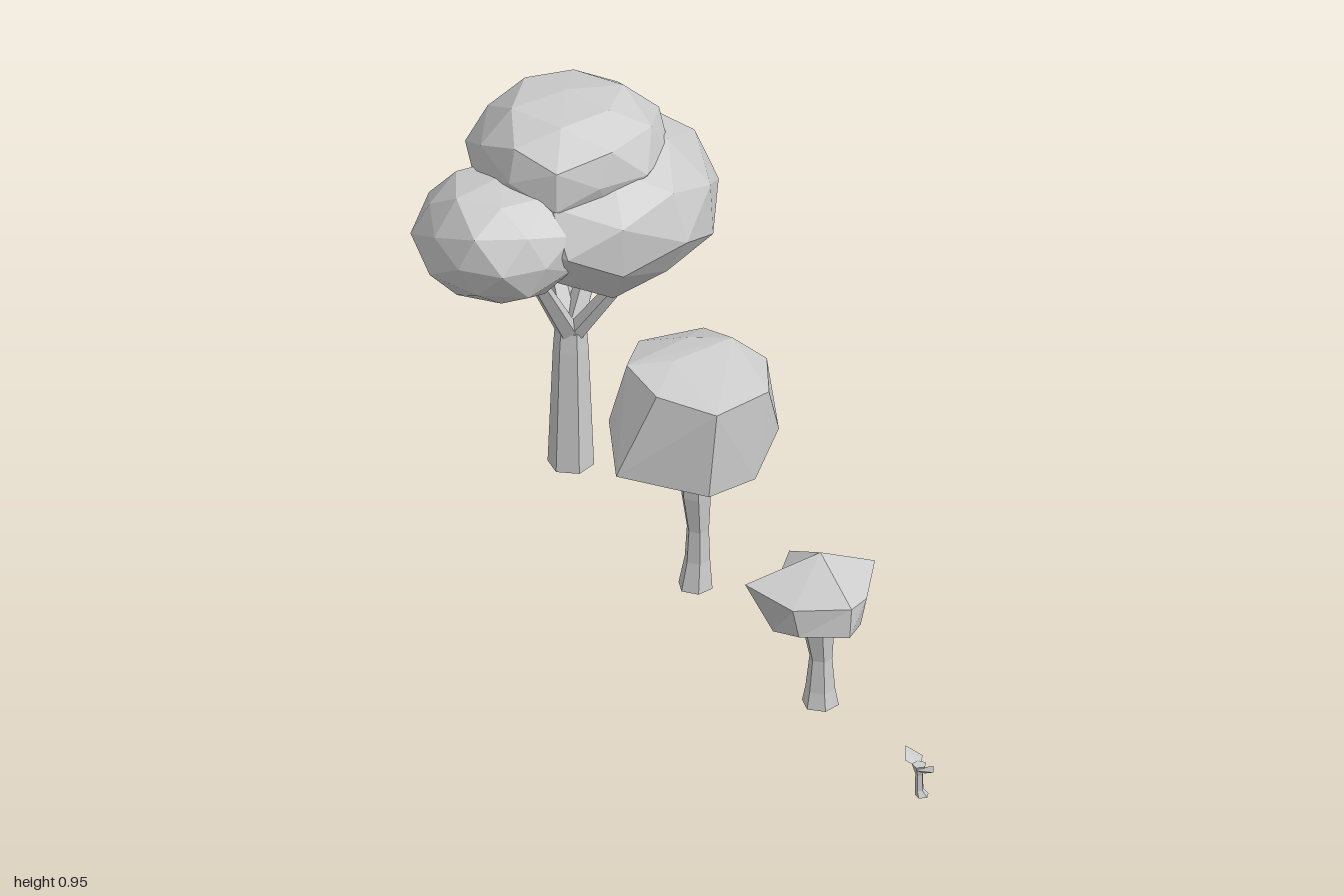
import * as THREE from 'three';
import { ConvexGeometry } from 'three/addons/geometries/ConvexGeometry.js';

const material = new THREE.MeshStandardMaterial({ color: 0xcccccc, flatShading: true, side: THREE.DoubleSide });

function part(name, geometry) {
  const mesh = new THREE.Mesh(geometry, material);
  mesh.name = name;
  return mesh;
}

// Skin a stack of equal-length rings (bottom to top, anticlockwise from above), closed by two centre points.
function skin(rings, bottom, top) {
  const n = rings[0].length, pos = [];
  const tri = (...corners) => corners.forEach((c) => pos.push(...c));
  for (let i = 0; i < n; i++) {
    const j = (i + 1) % n, last = rings[rings.length - 1];
    tri(bottom, rings[0][j], rings[0][i]);
    for (let k = 0; k + 1 < rings.length; k++) {
      const a = rings[k], b = rings[k + 1];
      tri(a[i], a[j], b[j]);
      tri(a[i], b[j], b[i]);
    }
    tri(top, last[i], last[j]);
  }
  const geometry = new THREE.BufferGeometry();
  geometry.setAttribute('position', new THREE.Float32BufferAttribute(pos, 3));
  geometry.computeVertexNormals();
  return geometry;
}

// Faceted trunk or branch through [x, y, z, radius] stations.
function limb(stations, sides, turn = 0) {
  const rings = stations.map(([x, y, z, r]) => Array.from({ length: sides }, (_, i) => {
    const a = turn + (i / sides) * Math.PI * 2;
    return [x + r * Math.cos(a), y, z - r * Math.sin(a)];
  }));
  return skin(rings, stations[0].slice(0, 3), stations[stations.length - 1].slice(0, 3));
}

// Irregular low-poly foliage ball.
function leafBall(center, radii, seed) {
  const geometry = new THREE.IcosahedronGeometry(1, 1);
  const p = geometry.attributes.position, v = new THREE.Vector3();
  geometry.rotateY(seed);
  for (let i = 0; i < p.count; i++) {
    v.fromBufferAttribute(p, i);
    v.multiplyScalar(1 + 0.045 * Math.sin(5 * v.x + 3 * v.y + 4 * v.z + seed * 7));
    p.setXYZ(i, center[0] + v.x * radii[0], center[1] + v.y * radii[1], center[2] + v.z * radii[2]);
  }
  geometry.computeVertexNormals();
  return geometry;
}

function tree(name, ...parts) {
  const group = new THREE.Group();
  group.name = name;
  group.add(...parts);
  return group;
}

function seedling() {
  const stem = limb([[0.015, 0.02, 0.938, 0.016], [0.01, 0.035, 0.935, 0.01], [0.01, 0.075, 0.935, 0.009], [0.01, 0.1, 0.935, 0.017]], 5);
  // Folded diamond leaves, one on each side of the stem
  const leaves = [1, -1].map((s) => {
    const z = (d) => 0.935 + s * d;
    const rim = [[0.01, 0.09, z(0)], [0.032, 0.103, z(0.025)], [0.01, 0.114, z(0.065)], [-0.012, 0.103, z(0.025)]];
    if (s < 0) rim.reverse();
    return part('leaf', skin([rim], [0.01, 0.09, z(0.025)], [0.01, 0.1, z(0.025)]));
  });
  return tree('seedling', part('stem', stem), ...leaves);
}

function sapling() {
  const trunk = limb([[0.01, 0.01, 0.475, 0.042], [0.01, 0.05, 0.475, 0.034], [0.01, 0.13, 0.477, 0.026], [0.005, 0.2, 0.475, 0.036], [0.005, 0.26, 0.475, 0.04]], 6, 0.3);
  // Pointed crown: notched upper rim over a smaller lower rim
  const lower = [[0.08, 0.24, 0.47], [0.06, 0.25, 0.42], [0.01, 0.24, 0.39], [-0.05, 0.22, 0.42],
    [-0.09, 0.205, 0.44], [-0.09, 0.255, 0.56], [0, 0.265, 0.63], [0.06, 0.25, 0.57]];
  const upper = [[0.15, 0.335, 0.47], [0.06, 0.335, 0.41], [0.01, 0.325, 0.33], [-0.06, 0.34, 0.42],
    [-0.155, 0.34, 0.43], [-0.1, 0.32, 0.55], [0.01, 0.33, 0.62], [0.07, 0.32, 0.58]];
  return tree('sapling', part('trunk', trunk), part('crown', skin([lower, upper], [0, 0.22, 0.475], [0.01, 0.4, 0.475])));
}

function youngTree() {
  const trunk = limb([[0, 0.01, -0.087, 0.04], [0.005, 0.08, -0.087, 0.03], [0.005, 0.16, -0.085, 0.026], [0, 0.25, -0.085, 0.035], [0, 0.34, -0.085, 0.038]], 6, 0.2);
  // Blocky crown hull
  const crown = [
    [0, 0.29, -0.09],
    [-0.225, 0.385, -0.04], [-0.07, 0.365, 0.105], [0.06, 0.36, 0.08], [0.145, 0.355, -0.02],
    [0.13, 0.37, -0.17], [0.01, 0.38, -0.255], [-0.13, 0.36, -0.19],
    [0.178, 0.46, -0.1], [0.13, 0.46, 0.06], [0.15, 0.46, -0.2], [-0.2, 0.48, -0.12], [-0.09, 0.47, -0.26],
    [-0.145, 0.59, 0.0], [-0.05, 0.57, 0.105], [0.1, 0.57, 0.07], [0.17, 0.56, -0.07],
    [0.1, 0.57, -0.235], [-0.06, 0.58, -0.24], [-0.155, 0.61, -0.12],
    [0.1, 0.618, -0.1], [0.02, 0.61, -0.16], [-0.06, 0.615, -0.08],
  ].map((c) => new THREE.Vector3(...c));
  return tree('youngTree', part('trunk', trunk), part('crown', new ConvexGeometry(crown)));
}

function matureTree() {
  const fork = [0.01, 0.33, -0.685];
  const trunk = limb([[0.01, 0, -0.685, 0.052], [0.01, 0.3, -0.685, 0.04], [0.01, 0.35, -0.685, 0.036]], 6, 0.4);
  // Branches fan out from the fork into the crown
  const branches = [[0.09, 0.53, -0.57], [-0.12, 0.56, -0.62], [0.03, 0.54, -0.83], [0.11, 0.54, -0.74]]
    .map((tip) => part('branch', limb([[...fork, 0.029], [...tip, 0.02]], 5)));
  return tree('matureTree', part('trunk', trunk), ...branches,
    part('mainCrown', leafBall([0.085, 0.66, -0.715], [0.27, 0.2, 0.28], 0.3)),
    part('sideCrown', leafBall([-0.17, 0.655, -0.68], [0.19, 0.15, 0.19], 1.1)),
    part('topCrown', leafBall([0.02, 0.805, -0.72], [0.22, 0.15, 0.21], 2.0)));
}

export function createModel() {
  const model = new THREE.Group();
  model.name = 'treeGrowthStages';
  model.add(seedling(), sapling(), youngTree(), matureTree());
  return model;
}
